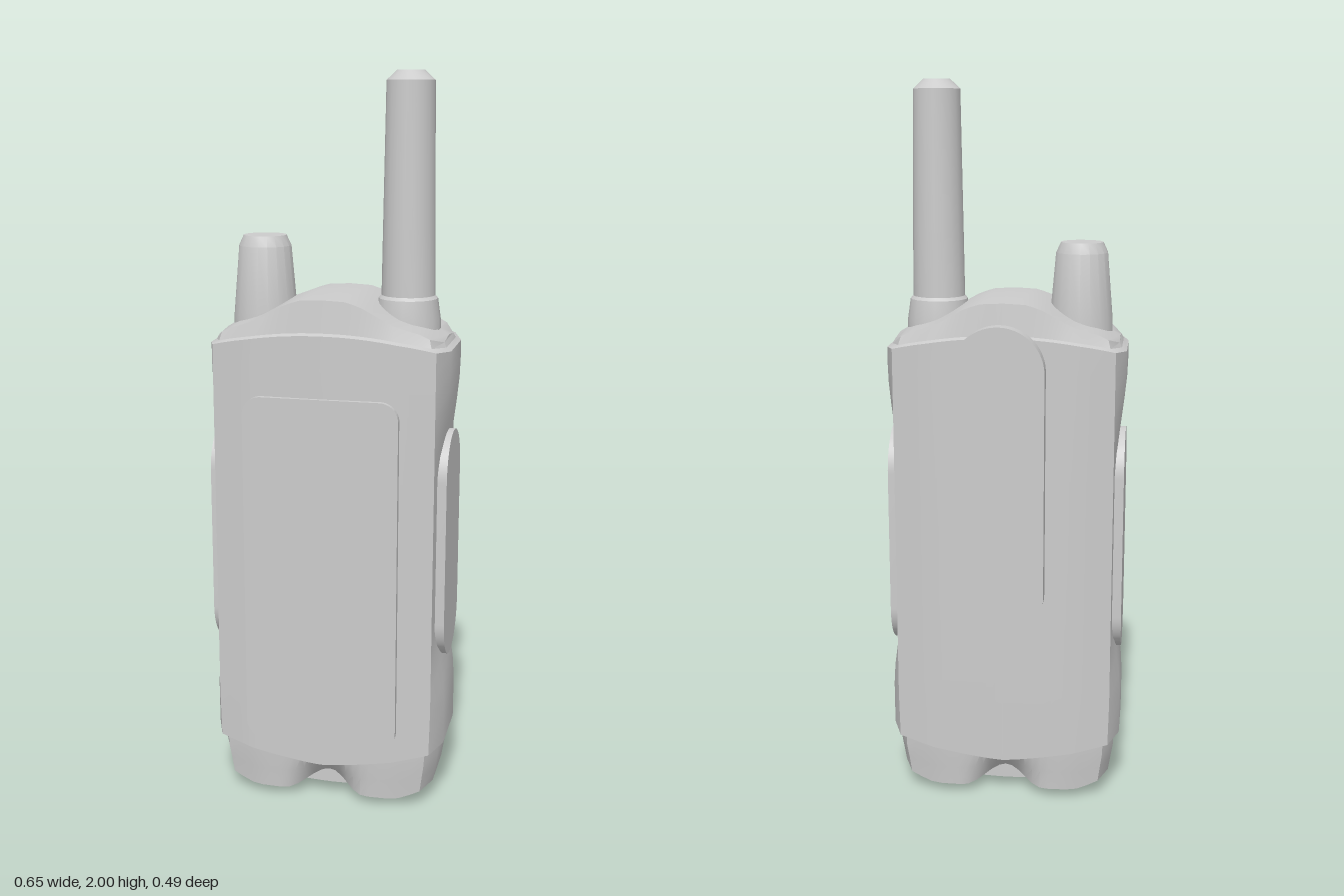
import * as THREE from 'three';
import { toCreasedNormals } from 'three/addons/utils/BufferGeometryUtils.js';

const CZ = 0.04; // depth centre of the housing
const material = new THREE.MeshStandardMaterial({ color: 0xcccccc, side: THREE.DoubleSide });
const { smoothstep, lerp } = THREE.MathUtils;

function addMesh(group, name, geometry, x = 0, y = 0, z = 0) {
  const mesh = new THREE.Mesh(geometry, material);
  mesh.name = name;
  mesh.position.set(x, y, z);
  group.add(mesh);
  return mesh;
}

// piecewise linear lookup through [x, value] pairs
function along(points, x) {
  for (let i = 1; i < points.length; i++) {
    const [x0, v0] = points[i - 1], [x1, v1] = points[i];
    if (x <= x1) return lerp(v0, v1, (x - x0) / (x1 - x0));
  }
  return points[points.length - 1][1];
}

// housing outline seen from above: front edge left to right, then back edge
const halfDepth = [[0, 0.195], [0.2, 0.19], [0.3, 0.165], [0.33, 0.09]];
const half = [0.33, 0.3, 0.27, 0.235, 0.2, 0.17, 0.14, 0.115, 0.09, 0.065, 0.045, 0.02];
const xs = [...half.map(x => -x), 0, ...half.slice().reverse()];
const outline = [
  ...xs.map(x => [x, along(halfDepth, Math.abs(x))]),
  ...xs.slice().reverse().map(x => [x, -along(halfDepth, Math.abs(x))]),
];

// skin a stack of scaled outlines; each ring has sx, sz, y(x), optional limit and scoop
function loft(rings) {
  const n = outline.length, pos = [], index = [];
  for (const { sx, sz, y, limit = 1, scoop = 0 } of rings) {
    for (const [px, pz] of outline) {
      const x = THREE.MathUtils.clamp(px * sx, -limit, limit);
      const cut = scoop * hump(x, 0.125);
      pos.push(x, y(Math.abs(x)), CZ + pz * sz - Math.sign(pz) * cut);
    }
  }
  for (let r = 0; r < rings.length - 1; r++) {
    for (let i = 0; i < n; i++) {
      const a = r * n + i, b = r * n + (i + 1) % n;
      index.push(a, b, b + n, a, b + n, a + n);
    }
  }
  const g = new THREE.BufferGeometry();
  g.setAttribute('position', new THREE.Float32BufferAttribute(pos, 3));
  g.setIndex(index);
  return toCreasedNormals(g, 0.5);
}

function hump(x, w) {
  return Math.abs(x) < w ? Math.cos(x / w * Math.PI / 2) ** 2 : 0;
}

// rounded rectangle extruded along z from 0 to depth
function roundedPlate(w, h, r, depth) {
  const s = new THREE.Shape();
  const x = w / 2 - r, y = h / 2 - r;
  s.absarc(x, y, r, 0, Math.PI / 2);
  s.absarc(-x, y, r, Math.PI / 2, Math.PI);
  s.absarc(-x, -y, r, Math.PI, Math.PI * 1.5);
  s.absarc(x, -y, r, Math.PI * 1.5, Math.PI * 2);
  const g = new THREE.ExtrudeGeometry(s, { depth, bevelEnabled: false, curveSegments: 10 });
  return toCreasedNormals(g, 0.5);
}

function turned(profile) {
  const g = new THREE.LatheGeometry(profile.map(p => new THREE.Vector2(...p)), 18);
  return toCreasedNormals(g, 0.4);
}

export function createModel() {
  const model = new THREE.Group();
  model.name = 'handheldRadio';

  // housing with waisted sides and domed top
  const low = x => 0.125 + 0.055 * (x / 0.33) ** 1.4;
  const rim = x => 1.335 - 0.045 * (x / 0.33) ** 2;
  const dome = x => along([[0, 1.425], [0.06, 1.422], [0.1, 1.41], [0.14, 1.388],
    [0.18, 1.366], [0.22, 1.352], [0.26, 1.34], [0.31, 1.31]], x);
  const waist = y => 0.327 - 0.024 * smoothstep(y, 0.3, 0.54) * (1 - smoothstep(y, 0.95, 1.24));
  const levels = [0.3, 0.36, 0.42, 0.48, 0.54, 0.95, 1.01, 1.07, 1.13, 1.19, 1.24];
  addMesh(model, 'housing', loft([
    { sx: 0.93, sz: 0, y: low },
    { sx: 0.99, sz: 1, y: low, limit: 0.327 },
    ...levels.map(y => ({ sx: 1, sz: 1, y: () => y, limit: waist(y) })),
    { sx: 1, sz: 1, y: rim, limit: 0.327 },
    { sx: 0.95, sz: 0.92, y: x => rim(x) + 0.005 },
    { sx: 0.93, sz: 0.87, y: x => Math.max(dome(x), rim(x) + 0.006) },
    { sx: 0.93, sz: 0, y: x => dome(x) + 0.008 },
  ]));

  // battery foot, scooped at front and back
  const under = x => 0.025 + 0.038 * hump(x, 0.11) + 0.028 * smoothstep(x, 0.2, 0.3);
  addMesh(model, 'foot', loft([
    { sx: 0.9, sz: 0, y: () => 0.065 },
    { sx: 0.9, sz: 0.85, y: under, scoop: 0.07 },
    { sx: 0.92, sz: 0.87, y: x => lerp(under(x), 0.135, 0.5), scoop: 0.03 },
    { sx: 0.94, sz: 0.9, y: () => 0.135 },
    { sx: 0.945, sz: 0.91, y: () => 0.2 },
  ]));

  // curved latch bar under the foot
  const bar = new THREE.Shape();
  bar.moveTo(-0.29, 0.06);
  bar.lineTo(-0.28, 0.04);
  bar.quadraticCurveTo(-0.2, 0.003, 0, 0);
  bar.quadraticCurveTo(0.2, 0.003, 0.28, 0.04);
  bar.lineTo(0.29, 0.06);
  bar.lineTo(0.2, 0.06);
  bar.quadraticCurveTo(0.1, 0.042, 0, 0.04);
  bar.quadraticCurveTo(-0.1, 0.042, -0.2, 0.06);
  const barGeometry = new THREE.ExtrudeGeometry(bar, { depth: 0.11, bevelEnabled: false });
  addMesh(model, 'latchBar', toCreasedNormals(barGeometry, 0.5), 0, 0, CZ - 0.055);

  // front panel and side grips
  addMesh(model, 'frontPanel', roundedPlate(0.42, 0.975, 0.05, 0.045), 0, 0.682, 0.2);
  for (const side of [1, -1]) {
    const grip = addMesh(model, side > 0 ? 'leftGrip' : 'rightGrip',
      roundedPlate(0.244, 0.64, 0.121, 0.05), side * 0.277, 0.74, CZ);
    grip.rotation.y = side * Math.PI / 2;
  }

  // knob and antenna
  addMesh(model, 'knob', turned([[0.088, 1.3], [0.087, 1.36], [0.071, 1.545],
    [0.058, 1.573], [0, 1.573]]), -0.198, 0, CZ);
  addMesh(model, 'antennaCollar', turned([[0.088, 1.3], [0.087, 1.36], [0.079, 1.415],
    [0.07, 1.425], [0, 1.425]]), 0.196, 0, CZ);
  addMesh(model, 'antenna', turned([[0.072, 1.4], [0.069, 1.6], [0.063, 1.975],
    [0.036, 2], [0, 2]]), 0.196, 0, CZ);

  // belt clip with its two posts and lower hook
  const clip = new THREE.Group();
  clip.name = 'beltClip';
  model.add(clip);
  addMesh(clip, 'clipPlate', roundedPlate(0.244, 0.85, 0.1215, 0.041), 0, 0.955, -0.249);
  for (const x of [-0.038, 0.038]) {
    addMesh(clip, 'clipPost', new THREE.BoxGeometry(0.017, 0.075, 0.08), x, 1.298, -0.175);
  }
  const hook = new THREE.Shape();
  hook.moveTo(0.208, 0.555);
  hook.lineTo(0.175, 0.578);
  hook.quadraticCurveTo(0.157, 0.595, 0.175, 0.607);
  hook.lineTo(0.208, 0.607);
  const hookGeometry = new THREE.ExtrudeGeometry(hook, { depth: 0.017, bevelEnabled: false });
  addMesh(clip, 'clipHook', hookGeometry, -0.0085).rotation.y = Math.PI / 2;

  return model;
}
